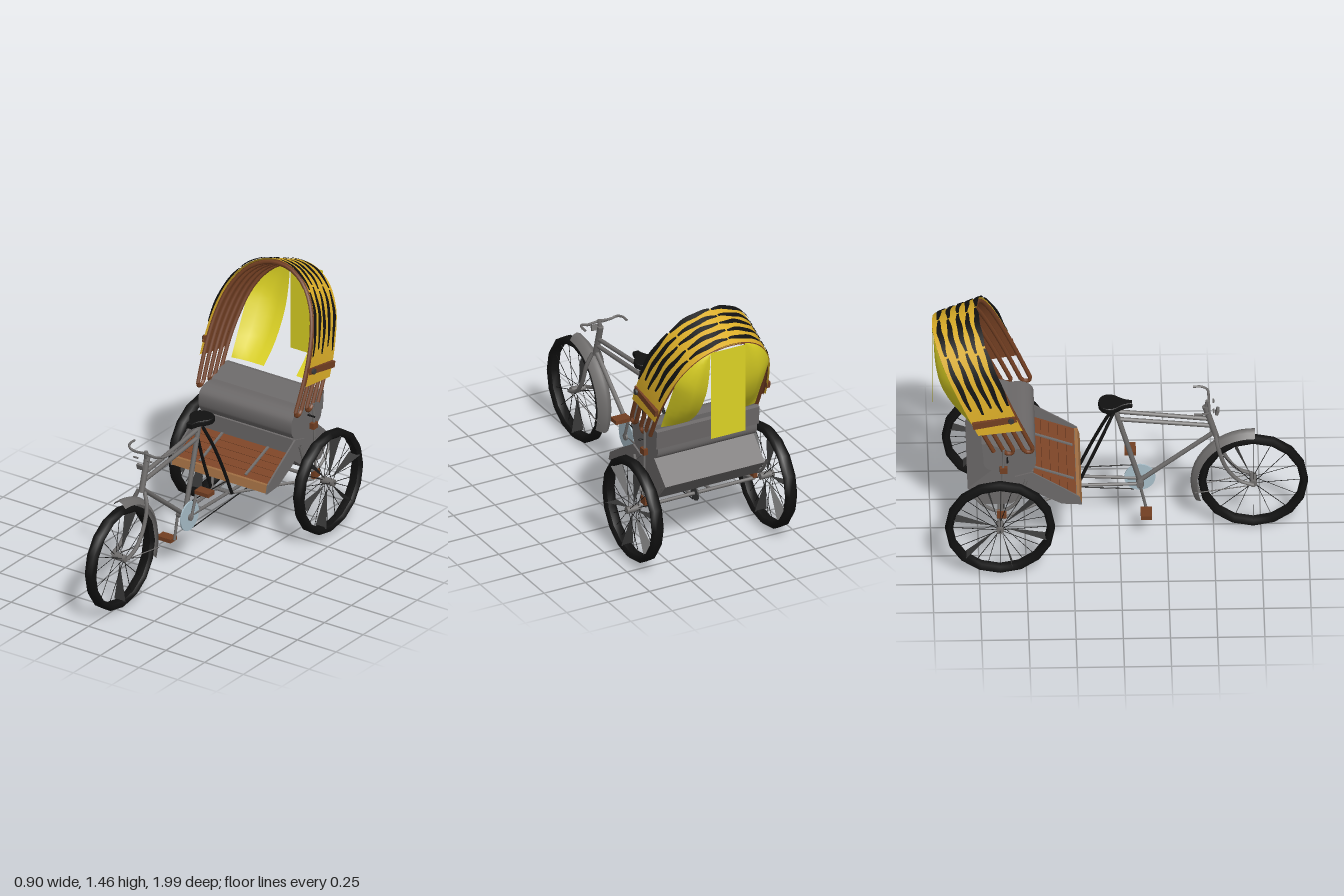
import * as THREE from 'three';

const mat = (name, color, side = THREE.FrontSide) => {
  const m = new THREE.MeshStandardMaterial({ color, side });
  m.name = name;
  return m;
};
const D = THREE.DoubleSide;
const M = {
  canopy: mat('golden canopy', 0xdcae28, D),
  cloth: mat('yellow cloth', 0xdcd224, D),
  seat: mat('grey upholstery', 0x6c6969, D),
  steel: mat('grey steel', 0x6e6c6b, D),
  dark: mat('dark metal', 0x3a3a3a, D),
  black: mat('black rubber', 0x111111, D),
  wood: mat('brown wood', 0x733f22, D),
  plank: mat('plank wood', 0x7e4527),
  edge: mat('light wood', 0xa06e42),
  ring: mat('pale metal', 0xa8bec9),
};
const V = (x, y, z) => new THREE.Vector3(x, y, z);

export function createModel() {
  const root = new THREE.Group();
  root.name = 'cycleRickshaw';
  const add = (name, geo, m, parent = root) => {
    const mesh = new THREE.Mesh(geo, m);
    mesh.name = name;
    parent.add(mesh);
    return mesh;
  };
  const rod = (name, a, b, r, m, parent = root, sides = 8) => {
    const mesh = add(name, new THREE.CylinderGeometry(r, r, a.distanceTo(b), sides), m, parent);
    mesh.position.copy(a).lerp(b, 0.5);
    mesh.quaternion.setFromUnitVectors(V(0, 1, 0), b.clone().sub(a).normalize());
    return mesh;
  };
  const pipe = (name, pts, r, m, seg = 20) =>
    add(name, new THREE.TubeGeometry(new THREE.CatmullRomCurve3(pts), seg, r, 6), m);
  const box = (name, w, h, d, x, y, z, m, tilt = 0) => {
    const mesh = add(name, new THREE.BoxGeometry(w, h, d), m);
    mesh.position.set(x, y, z);
    mesh.rotation.x = tilt;
    return mesh;
  };
  // side profile in (z, y), extruded across x
  const slab = (name, pts, width, x, m, smooth = false) => {
    const v = pts.map(p => new THREE.Vector2(p[0], p[1]));
    const s = smooth ? new THREE.Shape().moveTo(v[0].x, v[0].y).splineThru(v.slice(1)) : new THREE.Shape(v);
    const g = new THREE.ExtrudeGeometry(s, { depth: width, bevelEnabled: false, curveSegments: 16 });
    return add(name, g.rotateY(-Math.PI / 2).translate(x + width / 2, 0, 0), m);
  };
  // surface from a grid of points
  const sheet = (name, nu, nv, f, m) => {
    const pos = [], idx = [];
    for (let i = 0; i <= nu; i++) for (let j = 0; j <= nv; j++) {
      pos.push(...f(i / nu, j / nv).toArray());
      const a = i * (nv + 1) + j;
      if (i < nu && j < nv) idx.push(a, a + nv + 1, a + 1, a + 1, a + nv + 1, a + nv + 2);
    }
    const g = new THREE.BufferGeometry();
    g.setAttribute('position', new THREE.Float32BufferAttribute(pos, 3));
    g.setIndex(idx);
    g.computeVertexNormals();
    return add(name, g, m);
  };

  // wheels: tyre, hub, thin spokes and a few broad blades
  const wheel = (name, x, y, z, spokes, isBlade) => {
    const g = new THREE.Group();
    g.name = name;
    g.position.set(x, y, z);
    root.add(g);
    const prof = [[0.252, -0.02], [0.272, -0.037], [0.291, -0.018], [0.291, 0.018], [0.272, 0.037], [0.252, 0.02], [0.252, -0.02]];
    const tyre = new THREE.LatheGeometry(prof.map(p => new THREE.Vector2(...p)), 16);
    add('tyre', tyre.rotateZ(Math.PI / 2), M.black, g);
    rod('hub', V(-0.04, 0, 0), V(0.04, 0, 0), 0.02, M.steel, g, 10);
    for (let i = 0; i < spokes; i++) {
      const a = (i / spokes) * Math.PI * 2, c = -Math.cos(a), s = Math.sin(a);
      if (isBlade(i)) {
        const b = new THREE.BufferGeometry().setFromPoints([V(0, c * 0.03, s * 0.03), V(-0.036, c * 0.255, s * 0.255), V(0.036, c * 0.255, s * 0.255)]);
        b.computeVertexNormals();
        add('spokeBlade', b, M.dark, g);
      } else rod('spoke', V(i % 2 ? 0.025 : -0.025, c * 0.02, s * 0.02), V(0, c * 0.255, s * 0.255), 0.0018, M.black, g, 4);
    }
  };
  wheel('frontWheel', 0, 0.298, 0.71, 16, i => i === 0 || i === 9);
  for (const s of [-1, 1]) wheel('rearWheel', s * 0.403, 0.31, -0.64, 24, i => i % 4 === 1);

  // front mudguard, an arched strip
  sheet('frontMudguard', 16, 4, (u, v) => {
    const a = Math.PI * (0.49 + u * 0.63), w = v * 2 - 1, r = 0.332 - 0.035 * w * w;
    return V(w * 0.042, 0.3 + Math.sin(a) * r, 0.71 + Math.cos(a) * r);
  }, M.steel);

  // cycle frame
  const tubes = [
    ['headTube', [0, 0.79, 0.455], [0, 0.6, 0.51], 0.017],
    ['topTube', [0, 0.705, 0.475], [0, 0.76, 0], 0.012],
    ['lowerTopTube', [0, 0.66, 0.49], [0, 0.71, 0], 0.012],
    ['downTube', [0, 0.615, 0.5], [0, 0.305, 0.11], 0.013],
    ['seatTube', [0, 0.79, -0.025], [0, 0.3, 0.11], 0.014],
    ['handlebarStem', [0, 0.77, 0.46], [0, 0.825, 0.47], 0.012],
    ['stayBridge', [-0.06, 0.31, -0.23], [0.06, 0.31, -0.23], 0.009],
    ['rearAxle', [-0.33, 0.31, -0.64], [0.33, 0.31, -0.64], 0.01],
    ['bottomBracket', [-0.045, 0.3, 0.11], [0.045, 0.3, 0.11], 0.02],
  ];
  for (const [n, a, b, r] of tubes) rod(n, V(...a), V(...b), r, M.steel);
  for (const s of [-1, 1]) {
    pipe('forkBlade', [V(s * 0.02, 0.61, 0.51), V(s * 0.045, 0.54, 0.525), V(s * 0.05, 0.42, 0.565), V(s * 0.05, 0.335, 0.63), V(s * 0.05, 0.3, 0.71)], 0.011, M.steel);
    rod('mudguardStay', V(s * 0.05, 0.3, 0.71), V(s * 0.035, 0.24, 0.4), 0.003, M.steel);
    pipe('saddleStay', [V(s * 0.02, 0.77, -0.03), V(s * 0.045, 0.66, -0.08), V(s * 0.062, 0.5, -0.15), V(s * 0.068, 0.31, -0.23)], 0.009, M.black);
    rod('chainStay', V(s * 0.025, 0.3, 0.11), V(s * 0.06, 0.315, -0.64), 0.009, M.steel);
    rod('bodyBrace', V(s * 0.06, 0.31, -0.23), V(s * 0.325, 0.31, -0.62), 0.008, M.steel);
    rod('crossBrace', V(0, 0.365, -0.62), V(s * 0.32, 0.365, -0.62), 0.005, M.black);
    rod('axleEnd', V(s * 0.33, 0.31, -0.64), V(s * 0.452, 0.31, -0.64), 0.005, M.dark);
    // handlebar half with swept grip, and brake lever
    pipe('handlebar', [V(0, 0.815, 0.475), V(s * 0.07, 0.81, 0.475), V(s * 0.105, 0.82, 0.47), V(s * 0.123, 0.826, 0.44), V(s * 0.125, 0.825, 0.395)], 0.007, M.steel);
    rod('brakeLever', V(s * 0.03, 0.79, 0.5), V(s * 0.06, 0.79, 0.5), 0.005, M.steel);
  }
  box('brakeBlock', 0.04, 0.03, 0.015, 0, 0.755, 0.52, M.steel, 0.3);

  // saddle
  const sad = new THREE.Shape().moveTo(-0.014, -0.07);
  sad.bezierCurveTo(-0.02, 0, -0.065, 0.0, -0.065, 0.05).bezierCurveTo(-0.065, 0.12, 0.065, 0.12, 0.065, 0.05);
  sad.bezierCurveTo(0.065, 0, 0.02, 0, 0.014, -0.07);
  const saddle = new THREE.ExtrudeGeometry(sad, { depth: 0.016, bevelThickness: 0.008, bevelSize: 0.004, bevelSegments: 2 });
  add('saddle', saddle.rotateX(-Math.PI / 2).translate(0, 0.802, -0.005), M.black);

  // chainring, chain, cranks and pedals
  rod('chainring', V(0.026, 0.305, 0.11), V(0.034, 0.305, 0.11), 0.083, M.ring, root, 24);
  rod('chainTop', V(0.03, 0.385, 0.08), V(0.03, 0.355, -0.62), 0.003, M.black);
  rod('chainBottom', V(0.03, 0.225, 0.08), V(0.03, 0.265, -0.62), 0.003, M.black);
  rod('rearSprocket', V(0.026, 0.31, -0.64), V(0.034, 0.31, -0.64), 0.042, M.dark, root, 14);
  for (const [s, y, z] of [[1, 0.443, 0.06], [-1, 0.155, 0.142]]) {
    rod('crank', V(s * 0.044, 0.3, 0.11), V(s * 0.044, y, z), 0.008, M.steel);
    box('pedal', 0.09, 0.022, 0.06, s * 0.093, y, z, M.wood);
  }

  // sloping footboard: planks, leaning front edge, straps, underside and side plates
  const tilt = Math.atan2(0.085, 0.225);
  for (let i = 0; i < 5; i++) {
    const t = (i + 0.5) / 5;
    box('footboardPlank', 0.6, 0.012, 0.046, 0, 0.422 + t * 0.085, -0.235 - t * 0.225, M.plank, tilt);
  }
  slab('footboardEdge', [[-0.203, 0.387], [-0.215, 0.43], [-0.232, 0.43], [-0.222, 0.387]], 0.605, 0, M.edge);
  slab('footboardUnderside', [[-0.222, 0.388], [-0.24, 0.415], [-0.46, 0.499], [-0.46, 0.475]], 0.6, 0, M.seat);
  for (const x of [-0.15, 0.145]) box('footboardStrap', 0.014, 0.008, 0.225, x, 0.475, -0.35, M.steel, tilt);
  for (const s of [-1, 1]) slab('footboardSide', [[-0.204, 0.383], [-0.31, 0.39], [-0.44, 0.46], [-0.56, 0.57], [-0.47, 0.597], [-0.31, 0.495], [-0.218, 0.432]], 0.01, s * 0.307, M.seat);

  // seat tub, rolled cushion and backrest
  slab('seatTub', [[-0.46, 0.48], [-0.46, 0.6], [-0.67, 0.62], [-0.81, 0.49], [-0.72, 0.385], [-0.58, 0.385]], 0.6, 0, M.seat);
  slab('seatCushion', [[-0.48, 0.59], [-0.45, 0.64], [-0.455, 0.71], [-0.51, 0.745], [-0.6, 0.74], [-0.69, 0.735], [-0.725, 0.68], [-0.69, 0.61], [-0.48, 0.59]], 0.6, 0, M.seat, true);
  slab('backrest', [[-0.57, 0.735], [-0.71, 0.79], [-0.735, 0.785], [-0.725, 0.68], [-0.64, 0.66]], 0.62, 0, M.seat);

  // side supports with wooden blocks and leaf springs
  for (const s of [-1, 1]) {
    rod('sideSupport', V(s * 0.33, 0.31, -0.63), V(s * 0.322, 0.76, -0.62), 0.007, M.steel);
    box('upperBlock', 0.026, 0.035, 0.04, s * 0.325, 0.628, -0.62, M.wood);
    box('lowerBlock', 0.022, 0.045, 0.05, s * 0.328, 0.34, -0.63, M.wood);
    pipe('leafSpring', [V(s * 0.318, 0.55, -0.5), V(s * 0.322, 0.4, -0.56), V(s * 0.325, 0.355, -0.64), V(s * 0.322, 0.4, -0.73), V(s * 0.318, 0.49, -0.8)], 0.009, M.steel);
  }

  // hood: arch curve leaning back, swept from front (d = 0) to rear (d = 1)
  const half = [[0.33, 0.76], [0.336, 0.95], [0.321, 1.12], [0.279, 1.262], [0.199, 1.375], [0.1, 1.436]];
  const arch = new THREE.CatmullRomCurve3([...half.map(p => V(p[0], p[1], 0)), V(0, 1.453, 0), ...half.map(p => V(-p[0], p[1], 0)).reverse()]);
  const hood = (u, d, off = 0) => {
    const p = arch.getPoint(u), t = (p.y - 0.76) / 0.7;
    return V(p.x * (1 - 0.06 * d * Math.min(1, t * 2)) * (1 + off * 3), p.y - d * (0.02 + 0.08 * t) + off * t * t, -0.46 - 0.3 * t - 0.235 * d);
  };
  const span = u => 0.06 + u * 0.88;
  sheet('canopy', 32, 4, (u, v) => hood(span(u), v, 0.006), M.canopy);
  sheet('canopyLining', 32, 4, (u, v) => hood(span(u), v, -0.006), M.wood);
  for (let i = 0; i < 5; i++) {
    const pts = [];
    for (let k = 0; k <= 24; k++) pts.push(hood(k / 24, 0.02 + i * 0.22, -0.015));
    pipe('hoodRib', pts, 0.012, M.wood, 40);
  }
  // rounded loops joining the rib feet in pairs
  for (const u of [0, 1]) for (const d of [0.02, 0.46]) {
    const a = hood(u, d, -0.015), b = hood(u, d + 0.22, -0.015), drop = V(0, -0.018, 0.006);
    pipe('ribLoop', [a, a.clone().lerp(b, 0.25).add(drop), a.clone().lerp(b, 0.75).add(drop), b], 0.011, M.wood, 10);
  }
  // ragged worn stripes along the canopy
  [0.02, 0.22, 0.42, 0.64, 0.86].forEach((d, i) => {
    for (let k = 0; k < 4; k++) {
      const a = 0.13 + k * 0.185 + (i % 2) * 0.015;
      sheet('canopyStripe', 16, 1, (u, v) =>
        hood(a + u * 0.178, d + (v - 0.5) * (0.05 + 0.07 * Math.sin(u * Math.PI)) + 0.01 * Math.sin(u * 11 + i * 2 + k), 0.011), M.black);
    }
  });
  for (const s of [-1, 1]) {
    box('hoodStrap', 0.02, 0.036, 0.235, s * 0.338, 0.953, -0.668, M.wood, -0.2);
    rod('strapKnob', V(s * 0.33, 0.97, -0.58), V(s * 0.36, 0.97, -0.58), 0.016, M.dark);
    rod('hingePin', V(s * 0.3, 0.69, -0.6), V(s * 0.345, 0.69, -0.6), 0.005, M.black);
  }

  // rear cloth: two bulging side curtains and a hanging centre flap
  const bulge = new THREE.SplineCurve([[0.8, -0.73], [0.9, -0.84], [1.05, -0.933], [1.2, -0.975], [1.36, -0.988]].map(p => new THREE.Vector2(...p)));
  for (const [s, inner] of [[1, 0.125], [-1, 0.085]]) {
    sheet('rearCurtain', 18, 4, (u, v) => {
      const k = 0.035 + u * 0.465;
      const p = hood(s > 0 ? k : 1 - k, 1);
      const t = THREE.MathUtils.clamp((p.y - 0.8) / 0.56, 0, 1);
      let lo = 0, hi = 1;
      for (let n = 0; n < 14; n++) {
        const m = (lo + hi) / 2;
        if (bulge.getPoint(m).x < 0.8 + t * 0.56) lo = m; else hi = m;
      }
      const z = bulge.getPoint(lo).y, x = Math.min(Math.abs(p.x), 0.285);
      const w = Math.min(1, v * 2.5);
      return V(s * THREE.MathUtils.lerp(x, Math.min(x, inner), v), p.y, THREE.MathUtils.lerp(p.z, z, w));
    }, M.cloth);
  }
  sheet('rearFlap', 4, 1, (u, v) => V(-0.085 + v * 0.21, 0.82 + u * 0.515, -0.99), M.cloth);

  return root;
}
